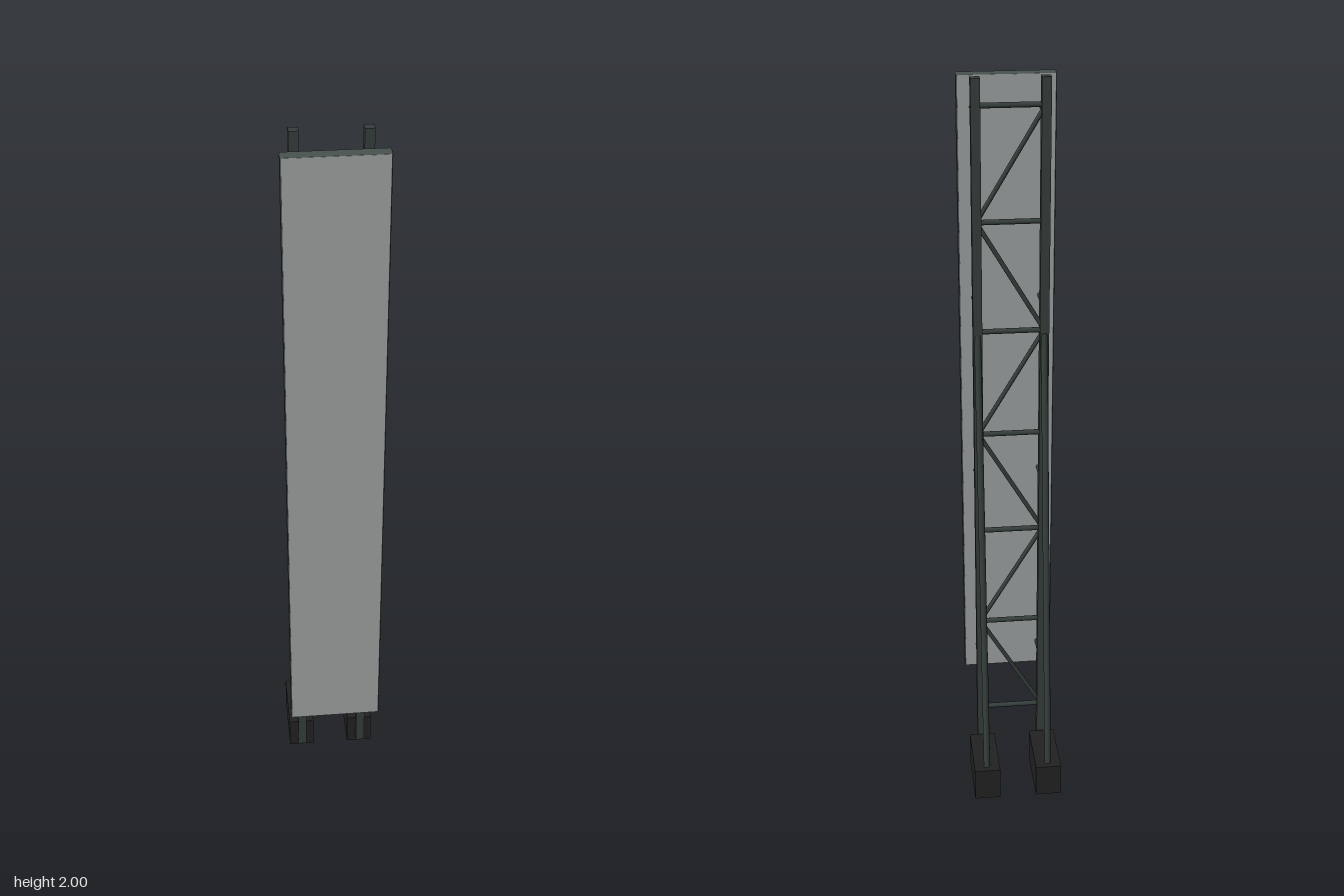
import * as THREE from 'three';
import { RoundedBoxGeometry } from 'three/addons/geometries/RoundedBoxGeometry.js';

export function createModel() {
  const model = new THREE.Group();
  model.name = 'panelTower';

  const mat = (name, color) => {
    const m = new THREE.MeshStandardMaterial({ color });
    m.name = name;
    return m;
  };
  const steel = mat('darkSteel', 0x343e3b);
  const rim = mat('rimSteel', 0x47524e);
  const sheet = mat('panelGrey', 0x9da1a0);
  const ballast = mat('ballastBlack', 0x222222);

  const add = (name, geometry, material, x, y, z) => {
    const mesh = new THREE.Mesh(geometry, material);
    mesh.name = name;
    mesh.position.set(x, y, z);
    model.add(mesh);
    return mesh;
  };
  const box = (name, material, w, h, d, x, y, z) =>
    add(name, new THREE.BoxGeometry(w, h, d), material, x, y, z);

  // Round bar between two points
  const up = new THREE.Vector3(0, 1, 0);
  const bar = (name, radius, from, to) => {
    const a = new THREE.Vector3(...from);
    const b = new THREE.Vector3(...to);
    const dir = b.clone().sub(a);
    const mid = a.clone().add(b).multiplyScalar(0.5);
    const mesh = add(name, new THREE.CylinderGeometry(radius, radius, dir.length(), 12), steel, mid.x, mid.y, mid.z);
    mesh.quaternion.setFromUnitVectors(up, dir.normalize());
  };

  const postX = 0.087;
  const postZ = 0.034;

  // Panel: rounded rim with a thin sheet on front and back
  add('panelRim', new RoundedBoxGeometry(0.252, 1.73, 0.031, 3, 0.005), rim, 0, 1.125, 0.143);
  box('panelFront', sheet, 0.246, 1.724, 0.004, 0, 1.125, 0.157);
  box('panelBack', sheet, 0.246, 1.724, 0.004, 0, 1.125, 0.129);

  for (const side of [-1, 1]) {
    const x = side * postX;
    // Upright post, ballast block and rear brace
    box('post', steel, 0.024, 1.965, 0.024, x, 1.0175, postZ);
    box('ballastBlock', ballast, 0.072, 0.095, 0.175, x, 0.0475, -0.0745);
    bar('rearBrace', 0.009, [x, 1.34, 0.028], [x, 0.06, -0.143]);
    // Standoffs carrying the panel
    for (const y of [0.335, 0.905, 1.41, 1.908]) {
      bar('standoff', 0.007, [x, y, postZ], [x, y, 0.13]);
    }
  }

  // Rungs with zigzag lacing between the posts
  const rungs = 7;
  const firstRung = 0.18;
  const spacing = 0.292;
  for (let i = 0; i < rungs; i++) {
    const y = firstRung + i * spacing;
    bar('rung', 0.007, [-postX, y, postZ], [postX, y, postZ]);
    if (i < rungs - 1) {
      const s = i % 2 === 0 ? -1 : 1;
      bar('diagonal', 0.006, [s * postX, y, postZ], [-s * postX, y + spacing, postZ]);
    }
  }

  return model;
}
